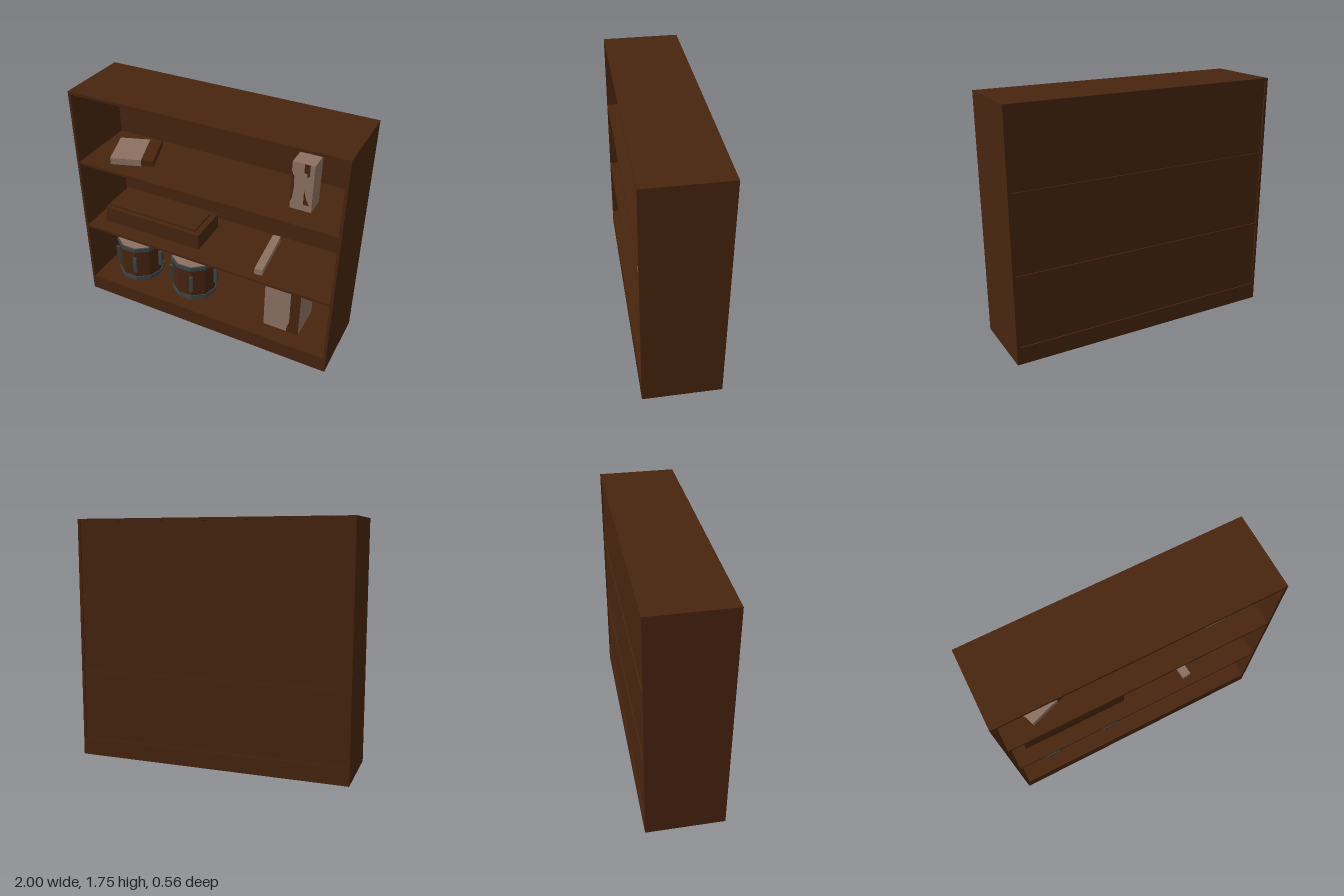
import * as THREE from 'three';

export function createModel() {
  const model = new THREE.Group();
  model.name = 'bookcase';

  const material = (name, color) => {
    const m = new THREE.MeshStandardMaterial({ color });
    m.name = name;
    return m;
  };
  const wood = material('dark wood', 0x47240f);
  const parchment = material('parchment', 0x8c7060);
  const iron = material('iron grey', 0x3c4448);

  const add = (parent, name, geometry, mat, x = 0, y = 0, z = 0) => {
    const mesh = new THREE.Mesh(geometry, mat);
    mesh.name = name;
    mesh.position.set(x, y, z);
    parent.add(mesh);
    return mesh;
  };
  // Box given by its limits on each axis
  const box = (parent, name, mat, [x0, x1], [y0, y1], [z0, z1]) =>
    add(parent, name, new THREE.BoxGeometry(x1 - x0, y1 - y0, z1 - z0), mat,
      (x0 + x1) / 2, (y0 + y1) / 2, (z0 + z1) / 2);
  // Thin patch facing +z, outlined by points
  const patch = (parent, name, mat, points, z) => {
    const shape = new THREE.Shape(points.map(([x, y]) => new THREE.Vector2(x, y)));
    return add(parent, name, new THREE.ExtrudeGeometry(shape, { depth: 0.003, bevelEnabled: false }), mat, 0, 0, z);
  };
  const group = (name, x, y, z, turn) => {
    const g = new THREE.Group();
    g.name = name;
    g.position.set(x, y, z);
    g.rotation.y = turn;
    model.add(g);
    return g;
  };

  // Case: sides, top, shelves, recessed back and hollow plinth
  const depth = [-0.28, 0.28], inner = [-0.98, 0.98];
  box(model, 'rightSide', wood, [-1, -0.98], [0, 1.75], depth);
  box(model, 'leftSide', wood, [0.98, 1], [0, 1.75], depth);
  box(model, 'topBoard', wood, inner, [1.73, 1.75], depth);
  box(model, 'upperShelf', wood, inner, [1.18, 1.2], depth);
  box(model, 'middleShelf', wood, inner, [0.62, 0.64], depth);
  box(model, 'bottomShelf', wood, inner, [0.105, 0.125], depth);
  box(model, 'backPanel', wood, inner, [0.125, 1.73], [-0.27, -0.26]);
  box(model, 'frontPlinth', wood, inner, [0, 0.105], [0.26, 0.28]);
  box(model, 'backPlinth', wood, inner, [0, 0.105], [-0.28, -0.275]);

  // Flat book lying askew on the upper shelf
  const book = group('flatBook', -0.665, 1.2, 0.005, 0.337);
  box(book, 'bookCover', parchment, [-0.158, 0.068], [0, 0.05], [-0.153, 0.153]);
  box(book, 'bookSpine', wood, [0.068, 0.158], [0, 0.05], [-0.153, 0.153]);
  box(book, 'bookCorner', wood, [-0.161, -0.157], [0, 0.05], [0.08, 0.153]);

  // Tall box on the upper shelf with stained front
  box(model, 'tallBox', parchment, [0.585, 0.735], [1.2, 1.55], [-0.03, 0.115]);
  [
    [[0.585, 1.25], [0.597, 1.28], [0.605, 1.36], [0.603, 1.44], [0.585, 1.48]],
    [[0.668, 1.55], [0.668, 1.485], [0.688, 1.485], [0.692, 1.455], [0.705, 1.47], [0.705, 1.55]],
    [[0.677, 1.35], [0.677, 1.25], [0.715, 1.25], [0.695, 1.29]],
  ].forEach((p) => patch(model, 'tallBoxStain', wood, p, 0.115));

  // Long case with raised lid on the middle shelf
  box(model, 'longCase', wood, [-0.88, -0.075], [0.64, 0.765], [-0.15, 0.165]);
  box(model, 'longCaseLid', wood, [-0.87, -0.12], [0.765, 0.78], [-0.1, 0.13]);

  // Narrow bar lying on the middle shelf
  const bar = group('narrowBar', 0.41, 0.64, 0.01, 0.095);
  box(bar, 'bar', parchment, [-0.03, 0.03], [0, 0.047], [-0.21, 0.21]);

  // Large box on the bottom shelf with dark edge
  box(model, 'largeBox', parchment, [0.46, 0.735], [0.125, 0.575], [-0.13, 0.148]);
  patch(model, 'largeBoxEdge', wood, [
    [0.735, 0.125], [0.735, 0.575], [0.655, 0.575], [0.66, 0.52], [0.662, 0.22], [0.645, 0.17], [0.642, 0.125],
  ], 0.148);

  // Ten-sided drums with iron hoops and five tension rods
  const tenSided = (radius, height) => new THREE.CylinderGeometry(radius, radius, height, 10).toNonIndexed();
  const flat = (geometry) => { geometry.computeVertexNormals(); return geometry; };
  for (const [x, degrees] of [[-0.7, 17], [-0.205, 20]]) {
    const drum = group('drum', x, 0.125, 0, THREE.MathUtils.degToRad(degrees));
    add(drum, 'drumShell', flat(tenSided(0.174, 0.28)), wood, 0, 0.16, 0);
    add(drum, 'lowerHoop', flat(tenSided(0.182, 0.035)), iron, 0, 0.0175, 0);
    add(drum, 'upperHoop', flat(tenSided(0.182, 0.035)), iron, 0, 0.2975, 0);
    add(drum, 'drumSkin', flat(tenSided(0.172, 0.004)), parchment, 0, 0.316, 0);
    for (let i = 0; i < 5; i++) {
      const a = (i / 5) * Math.PI * 2;
      const rod = add(drum, 'tensionRod', new THREE.BoxGeometry(0.027, 0.135, 0.03), iron,
        Math.sin(a) * 0.183, 0.162, Math.cos(a) * 0.183);
      rod.rotation.y = a;
    }
  }
  return model;
}
